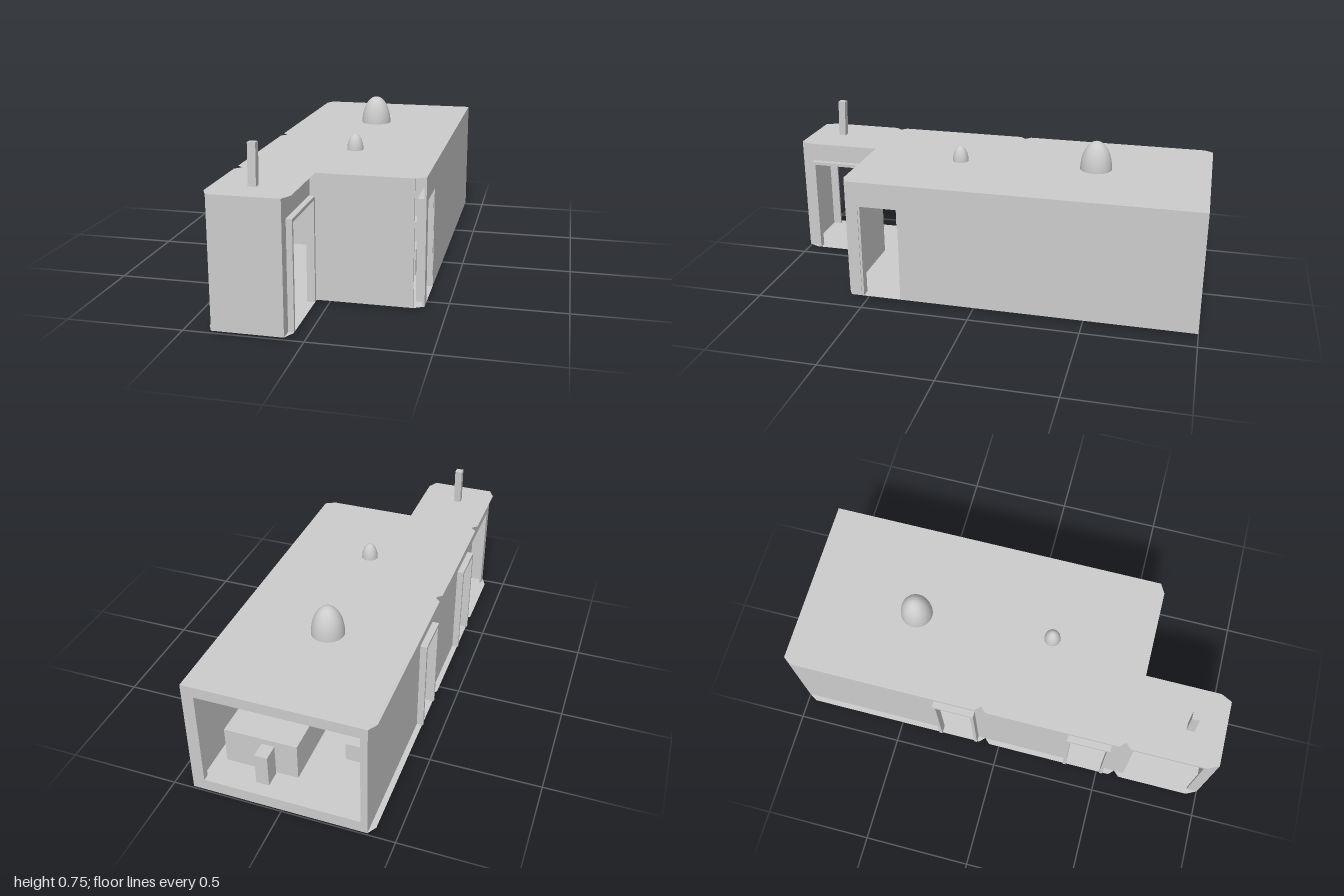
import * as THREE from 'three';

const FLOOR = 0.01, ROOF = 0.57;

export function createModel() {
  const model = new THREE.Group();
  const mat = new THREE.MeshStandardMaterial({ color: 0xcccccc, side: THREE.DoubleSide });

  const add = (name, geometry, x = 0, y = 0, z = 0) => {
    const mesh = new THREE.Mesh(geometry, mat);
    mesh.name = name;
    mesh.position.set(x, y, z);
    model.add(mesh);
    return mesh;
  };
  const polygon = (points) => new THREE.Shape(points.map(([x, y]) => new THREE.Vector2(x, y)));
  const extrude = (shape, depth) => new THREE.ExtrudeGeometry(shape, { depth, bevelEnabled: false });

  // Box given by its limits on each axis
  const block = (name, [x0, x1], [y0, y1], [z0, z1]) =>
    add(name, new THREE.BoxGeometry(x1 - x0, y1 - y0, z1 - z0), (x0 + x1) / 2, (y0 + y1) / 2, (z0 + z1) / 2);

  // Upright panel with doorways [start, end, top] cut from its lower edge
  const panelShape = (u0, u1, top, doors = []) => {
    const points = [[u0, FLOOR]];
    for (const [a, b, h] of doors) points.push([a, FLOOR], [a, h], [b, h], [b, FLOOR]);
    points.push([u1, FLOOR], [u1, top], [u0, top]);
    return polygon(points);
  };
  // Panel running along z, its thickness going from x towards -x
  const sidePanel = (name, x, shape, depth) => add(name, extrude(shape, depth).rotateY(-Math.PI / 2), x);
  const frame = (name, x, depth, z0, z1, top, t = 0.015) =>
    sidePanel(name, x, panelShape(z0, z1, top, [[z0 + t, z1 - t, top - t]]), depth);

  // Floor and roof sheets with clipped corners and notches at the room joints
  const outline = [
    [-0.38, -1], [0.405, -1], [0.405, 0.58], [0.36, 0.605], [-0.055, 0.605], [-0.055, 0.95],
    [-0.08, 1], [-0.38, 1], [-0.405, 0.95],
    [-0.405, 0.61], [-0.38, 0.585], [-0.405, 0.56],
    [-0.405, -0.05], [-0.38, -0.075], [-0.405, -0.1], [-0.405, -0.96],
  ];
  const sheet = new THREE.ShapeGeometry(polygon(outline.map(([x, z]) => [x, -z]))).rotateX(-Math.PI / 2);
  add('floor', sheet, 0, FLOOR, 0);
  add('roof', sheet, 0, ROOF, 0);

  // Long side walls
  sidePanel('rightWall', -0.37, panelShape(-1, 1, ROOF,
    [[-0.29, -0.12, 0.445], [0.345, 0.515, 0.445], [0.63, 0.95, 0.46]]), 0.01);
  sidePanel('leftWall', 0.405, panelShape(-1, 0.58, ROOF, [[0.34, 0.53, 0.46]]), 0.01);
  sidePanel('porchSideWall', -0.08, panelShape(0.605, 1, ROOF, [[0.63, 0.93, 0.46]]), 0.01);

  // Door and window surrounds
  frame('bedroomDoorFrame', -0.37, 0.04, -0.305, -0.11, 0.46);
  frame('mainDoorFrame', -0.37, 0.04, 0.33, 0.53, 0.46);
  frame('leftDoorFrame', 0.402, 0.042, 0.332, 0.532, 0.465, 0.012);
  frame('porchOpeningFrame', -0.055, 0.035, 0.617, 0.945, 0.475);

  // Front walls and the partition between the two rooms
  add('porchFrontWall', extrude(panelShape(-0.38, -0.08, ROOF), 0.01), 0, 0, 0.99);
  add('mainFrontWall', extrude(panelShape(-0.09, 0.36, ROOF), 0.01), 0, 0, 0.595);
  add('partition', extrude(panelShape(-0.37, 0.395, ROOF, [[-0.2, 0, 0.45]]), 0.01), 0, 0, -0.085);

  // Back wall with its large window opening
  const back = panelShape(-0.38, 0.405, ROOF);
  back.holes.push(polygon([[-0.35, 0.065], [-0.35, 0.52], [0.35, 0.52], [0.35, 0.065]]));
  add('backWindowWall', extrude(back, 0.03), 0, 0, -1);

  // Domed skylights passing through the roof
  for (const [name, x, z, r, h] of [['largeSkylight', -0.02, -0.48, 0.073, 0.133], ['smallSkylight', 0.012, 0.155, 0.037, 0.071]]) {
    add(name, new THREE.SphereGeometry(1, 32, 24), x, ROOF, z).scale.set(r, h, r);
  }

  // Slightly leaning chimney
  const chimney = block('chimney', [-0.257, -0.223], [0.55, 0.745], [0.826, 0.86]);
  chimney.rotation.x = -0.04;

  // Furniture
  block('bed', [0.003, 0.343], [FLOOR, 0.187], [-0.807, -0.43]);
  block('nightstand', [0.104, 0.164], [FLOOR, 0.166], [-0.89, -0.814]);
  block('lowTable', [-0.305, -0.15], [0, 0.1], [-0.63, -0.5]);
  block('sofaSeat', [0.01, 0.31], [0.006, 0.135], [0.12, 0.23]);
  block('sofaBack', [0.01, 0.31], [0.006, 0.23], [0.02, 0.12]);

  return model;
}
